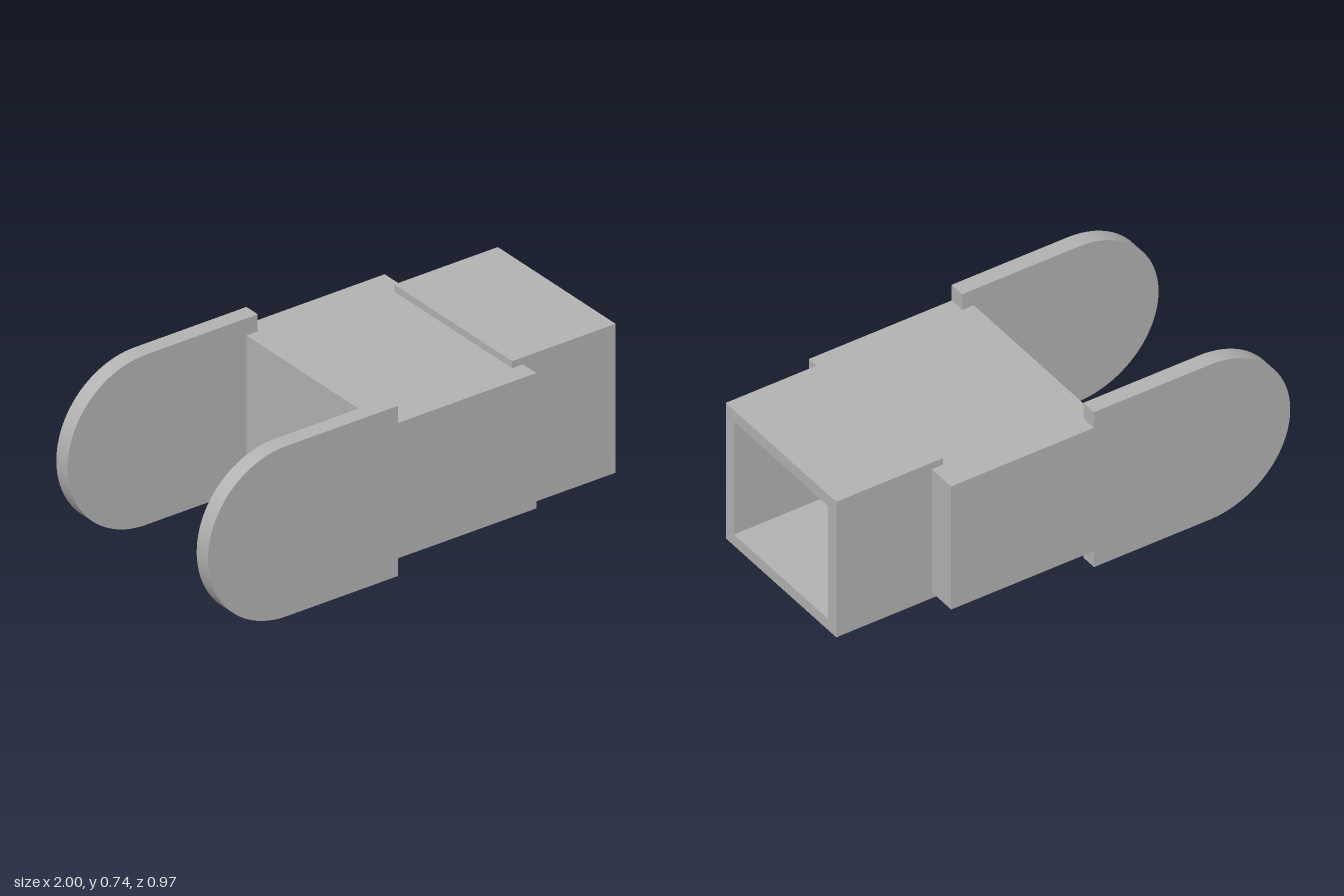
import * as THREE from 'three';

const grey = new THREE.MeshStandardMaterial({ color: 0xb2b2b2 });
grey.name = 'plain grey';

// Box given by its minimum and maximum corners
function box(name, min, max) {
  const size = max.map((v, i) => v - min[i]);
  const mesh = new THREE.Mesh(new THREE.BoxGeometry(...size), grey);
  mesh.position.set(...max.map((v, i) => (v + min[i]) / 2));
  mesh.name = name;
  return mesh;
}

// Fork plate with a semicircular outer end
function forkPlate(name, z, depth) {
  const r = 0.371, cx = -1 + r;
  const s = new THREE.Shape();
  s.moveTo(-0.097, 0);
  s.lineTo(-0.097, 2 * r);
  s.lineTo(cx, 2 * r);
  s.absarc(cx, r, r, Math.PI / 2, Math.PI * 1.5, false);
  s.closePath();
  const geo = new THREE.ExtrudeGeometry(s, { depth, bevelEnabled: false, curveSegments: 64 });
  const mesh = new THREE.Mesh(geo, grey);
  mesh.position.z = z;
  mesh.name = name;
  return mesh;
}

function rectangle(path, x0, y0, x1, y1) {
  path.moveTo(x0, y0);
  path.lineTo(x1, y0);
  path.lineTo(x1, y1);
  path.lineTo(x0, y1);
  path.closePath();
  return path;
}

// Square tube open towards +x
function socketWalls() {
  const s = rectangle(new THREE.Shape(), -0.399, 0.049, 0.353, 0.698);
  s.holes.push(rectangle(new THREE.Path(), -0.344, 0.102, 0.298, 0.643));
  const geo = new THREE.ExtrudeGeometry(s, { depth: 0.435, bevelEnabled: false });
  geo.rotateY(Math.PI / 2);
  const mesh = new THREE.Mesh(geo, grey);
  mesh.position.x = 0.565;
  mesh.name = 'socketWalls';
  return mesh;
}

export function createModel() {
  const model = new THREE.Group();
  model.name = 'forkBracket';

  // Central block
  model.add(box('body', [-0.15, 0.077, -0.484], [0.56, 0.667, 0.484]));

  // Pair of rounded fork plates
  model.add(forkPlate('leftForkPlate', 0.412, 0.072));
  model.add(forkPlate('rightForkPlate', -0.484, 0.072));

  // Hollow socket, closed at its inner end
  const socket = new THREE.Group();
  socket.name = 'socket';
  socket.add(socketWalls());
  socket.add(box('socketFloor', [0.508, 0.049, -0.353], [0.565, 0.698, 0.399]));
  model.add(socket);

  return model;
}
